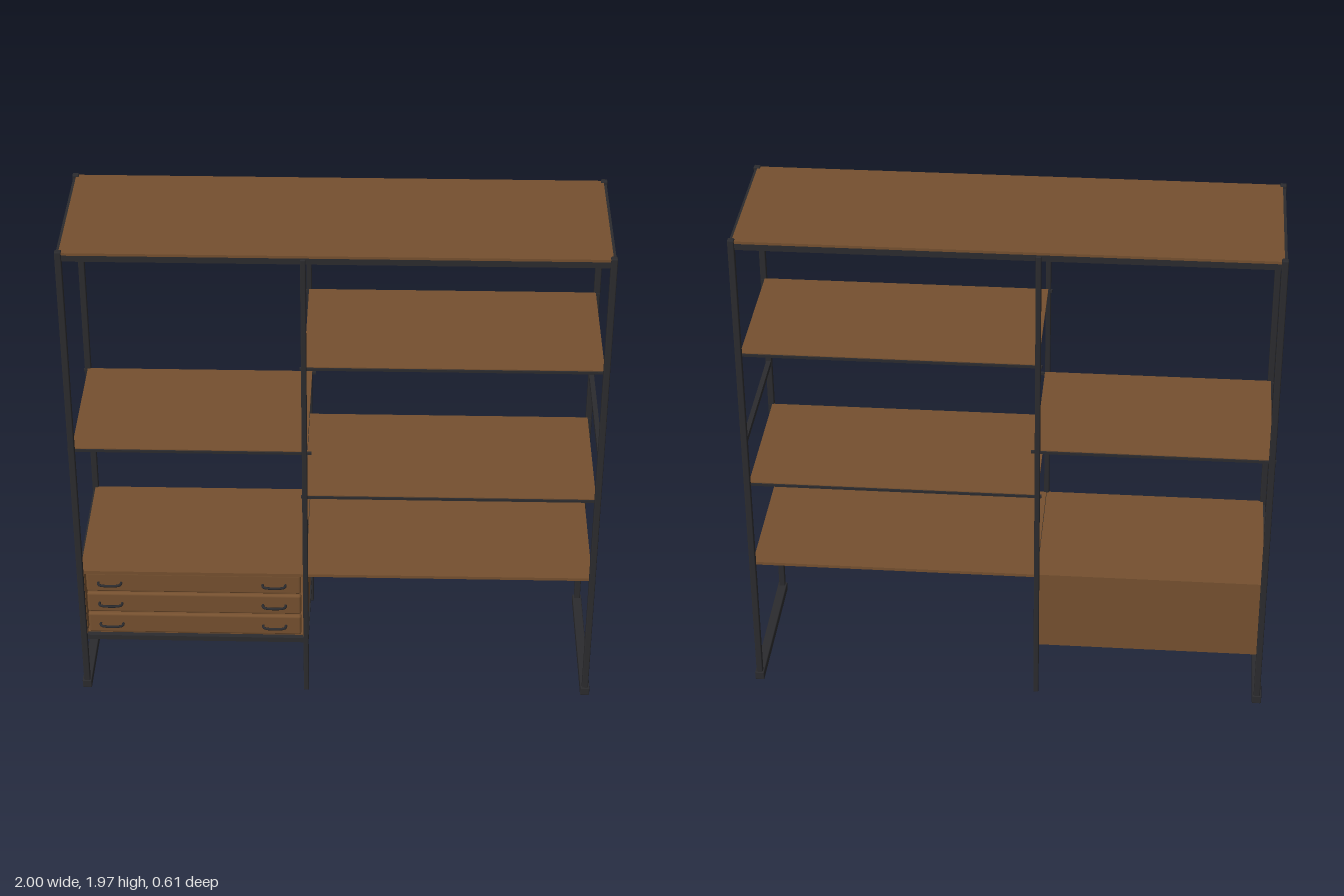
import * as THREE from 'three';
import { RoundedBoxGeometry } from 'three/addons/geometries/RoundedBoxGeometry.js';

export function createModel() {
  const model = new THREE.Group();
  const wood = new THREE.MeshStandardMaterial({ color: 0x75502f });
  wood.name = 'walnut';
  const metal = new THREE.MeshStandardMaterial({ color: 0x2b2b2e });
  metal.name = 'black metal';

  const add = (name, geometry, material, x, y, z) => {
    const mesh = new THREE.Mesh(geometry, material);
    mesh.name = name;
    mesh.position.set(x, y, z);
    model.add(mesh);
    return mesh;
  };
  // Box given by its minimum and maximum on each axis
  const box = (name, material, x0, x1, y0, y1, z0, z1) =>
    add(name, new THREE.BoxGeometry(x1 - x0, y1 - y0, z1 - z0), material,
      (x0 + x1) / 2, (y0 + y1) / 2, (z0 + z1) / 2);

  const END = 0.98, MID = -0.115, DEPTH = 0.29;

  // Corner posts, middle posts and end feet
  for (const z of [-DEPTH, DEPTH]) {
    for (const x of [-END, END]) {
      add('cornerPost', new RoundedBoxGeometry(0.024, 1.965, 0.024, 2, 0.004), metal, x, 0.9825, z);
    }
    add('middlePost', new RoundedBoxGeometry(0.02, 1.945, 0.02, 2, 0.004), metal, MID, 0.9725, z);
  }
  for (const x of [-END, END]) {
    add('footRail', new RoundedBoxGeometry(0.036, 0.036, 0.61, 2, 0.004), metal, x, 0.018, 0);
  }

  // Rail running front to back between a pair of posts
  const crossRail = (name, x, y, h, w = 0.018) =>
    box(name, metal, x - w / 2, x + w / 2, y - h / 2, y + h / 2, -0.28, 0.28);

  // Top frame and panel
  for (const z of [-0.284, 0.284]) {
    box('topLongRail', metal, -END, END, 1.925, 1.953, z - 0.01, z + 0.01);
  }
  for (const x of [-END, MID, END]) crossRail('topCrossRail', x, 1.939, 0.028);
  box('topPanel', wood, -0.978, 0.978, 1.95, 1.96, -0.296, 0.296);

  // End brace and the rails framing the drawer unit
  crossRail('endBrace', END, 1.11, 0.022);
  for (const x of [-END, MID]) {
    crossRail('drawerUpperRail', x, 0.532, 0.024);
    crossRail('drawerLowerRail', x, 0.23, 0.02);
  }

  // Thin shelf with dark front and back rods
  const shelf = (name, x0, x1, y) => {
    box(name, wood, x0, x1, y, y + 0.008, -0.28, 0.28);
    for (const z of [-0.28, 0.28]) {
      box(name + 'Rod', metal, x0 - 0.015, x1 + 0.015, y - 0.005, y + 0.005, z - 0.005, z + 0.005);
    }
  };
  shelf('leftShelf', -END, MID + 0.01, 1.114);
  for (const y of [0.916, 1.483]) {
    shelf('rightShelf', MID, END - 0.005, y);
    // Slats under the shelf
    for (let i = 0; i < 8; i++) {
      const x = MID + 0.08 + i * 0.134;
      box('shelfSlat', metal, x - 0.007, x + 0.007, y - 0.006, y, -0.275, 0.275);
    }
  }

  // Long lower shelf in two pieces
  box('lowerShelfLeft', wood, -END, MID - 0.001, 0.544, 0.558, -0.285, 0.285);
  box('lowerShelfRight', wood, MID + 0.001, END, 0.546, 0.558, -0.285, 0.285);

  // Drawer unit carcass
  const X0 = -0.972, X1 = -0.123;
  box('cabinetBack', wood, X0, X1, 0.225, 0.544, -0.285, -0.273);
  box('cabinetSideLeft', wood, X1 - 0.004, X1 + 0.012, 0.235, 0.544, -0.273, 0.272);
  box('cabinetSideRight', wood, X0 - 0.012, X0 + 0.004, 0.235, 0.544, -0.273, 0.272);
  box('cabinetBottom', wood, X0, X1, 0.238, 0.25, -0.273, 0.262);
  box('cabinetFrontRail', metal, X0, X1, 0.225, 0.246, 0.262, 0.282);
  box('bottomSupport', metal, X0, X1, 0.228, 0.238, -0.17, -0.04);

  // Three drawers, each with two bent pulls
  for (const y of [0.302, 0.401, 0.499]) {
    add('drawerFront', new RoundedBoxGeometry(0.828, 0.092, 0.03, 3, 0.01), wood, (X0 + X1) / 2, y, 0.262);
    for (const x of [-0.87, -0.237]) {
      const path = new THREE.CatmullRomCurve3([
        [-0.044, 0.272], [-0.042, 0.292], [-0.028, 0.299], [0.028, 0.299], [0.042, 0.292], [0.044, 0.272],
      ].map(([px, pz]) => new THREE.Vector3(px, 0, pz)));
      add('drawerHandle', new THREE.TubeGeometry(path, 24, 0.005, 8), metal, x, y, 0);
    }
  }

  return model;
}
